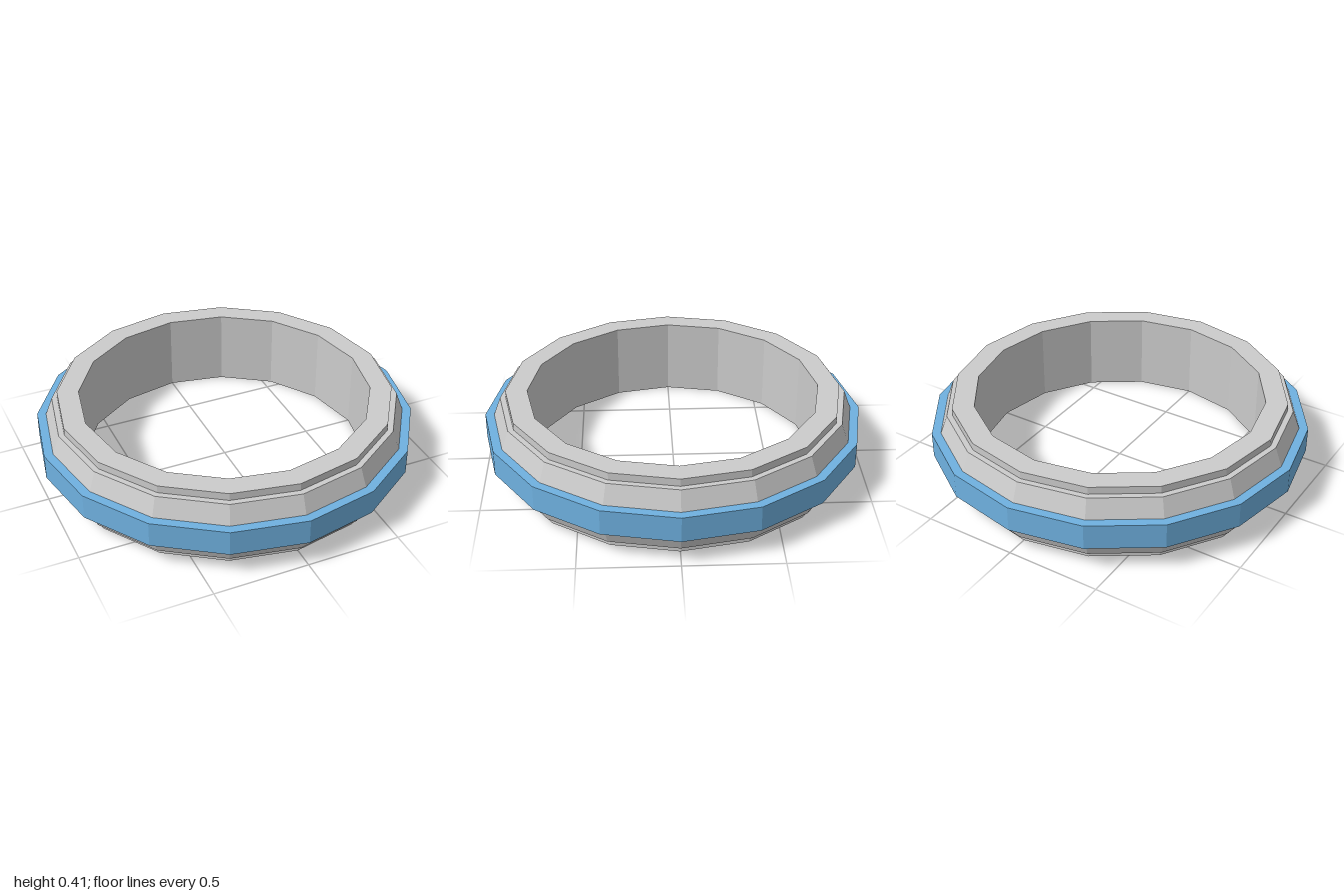
import * as THREE from 'three';

const SIDES = 16;

// Faceted ring from a profile of [radius, height] points, listed bottom to top on the outside
function ring(name, profile, color) {
  const points = profile.map(([r, y]) => new THREE.Vector2(r, y));
  const geometry = new THREE.LatheGeometry(points, SIDES).toNonIndexed();
  geometry.computeVertexNormals();
  const material = new THREE.MeshStandardMaterial({ color, flatShading: true });
  const mesh = new THREE.Mesh(geometry, material);
  mesh.name = name;
  return mesh;
}

export function createModel() {
  const group = new THREE.Group();
  group.name = 'ring';

  // Grey body: stepped rims, sloping shoulders and a straight bore
  const height = 0.415;
  const lower = [[0.77, 0], [0.885, 0], [0.885, 0.04], [0.915, 0.04], [0.953, 0.14]];
  const upper = lower.map(([r, y]) => [r, height - y]).reverse();
  group.add(ring('body', [...lower, ...upper, lower[0]], 0xcccccc));

  // Blue band around the middle
  const band = [[0.94, 0.14], [1, 0.14], [1, 0.275], [0.94, 0.275]];
  group.add(ring('band', band, 0x6fb1e0));

  return group;
}
